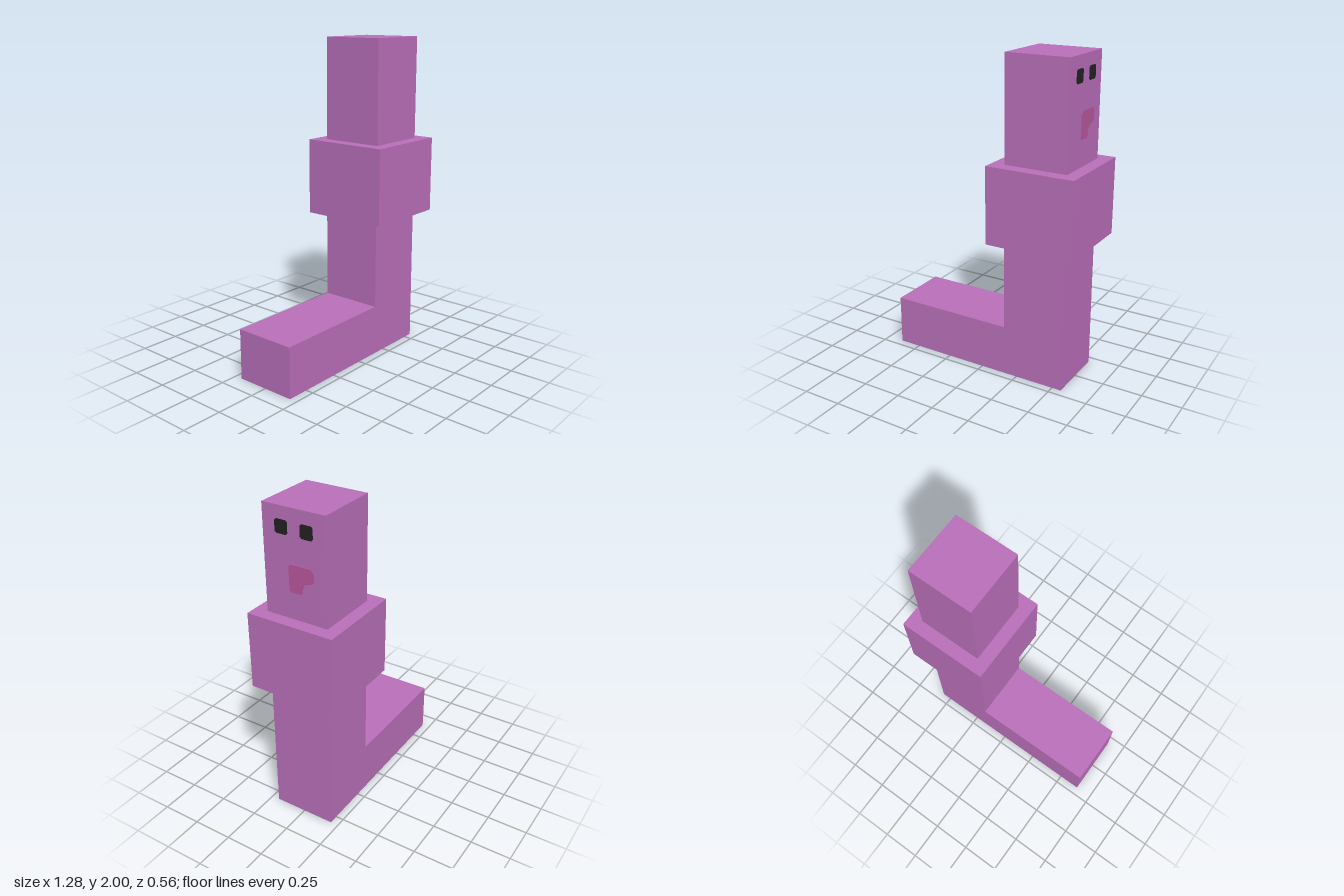
import * as THREE from 'three';

function material(name, color) {
  const m = new THREE.MeshStandardMaterial({ color });
  m.name = name;
  return m;
}

export function createModel() {
  const group = new THREE.Group();
  const purple = material('purple', 0xbb70bb);
  const black = material('black', 0x222222);
  const pink = material('pink', 0xbb57a0);

  const add = (name, geometry, mat, x, y, z) => {
    const mesh = new THREE.Mesh(geometry, mat);
    mesh.name = name;
    mesh.position.set(x, y, z);
    group.add(mesh);
    return mesh;
  };
  const polygon = (pts) => new THREE.Shape(pts.map(([x, y]) => new THREE.Vector2(x, y)));
  const extrude = (shape, depth) =>
    new THREE.ExtrudeGeometry(shape, { depth, bevelEnabled: false, curveSegments: 6 });

  // L-shaped body: upright trunk with a tail along the ground
  const bodyShape = polygon([
    [-0.64, 0], [0.56, 0], [0.56, 0.88], [0.16, 0.88], [0.16, 0.32], [-0.64, 0.32],
  ]);
  add('body', extrude(bodyShape, 0.4), purple, 0, 0, -0.2);

  // Wide collar block and head
  add('collar', new THREE.BoxGeometry(0.56, 0.48, 0.56), purple, 0.36, 1.12, 0);
  add('head', new THREE.BoxGeometry(0.4, 0.64, 0.4), purple, 0.36, 1.68, 0);

  // Face plates lie on the +x side of the head; shape x runs towards -z
  const addPlate = (name, shape, mat, y, z) => {
    add(name, extrude(shape, 0.004), mat, 0.559, y, z).rotation.y = Math.PI / 2;
  };

  // Eyes: squares with clipped corners
  const a = 0.04, b = 0.03;
  const eyeShape = polygon([
    [-b, -a], [b, -a], [a, -b], [a, b], [b, a], [-b, a], [-a, b], [-a, -b],
  ]);
  for (const side of [1, -1]) {
    addPlate(side > 0 ? 'leftEye' : 'rightEye', eyeShape, black, 1.885, side * 0.08);
  }

  // Mouth: rounded bar with a stem hanging at one end
  const mouth = new THREE.Shape();
  mouth.moveTo(-0.04, 1.545);
  mouth.quadraticCurveTo(-0.04, 1.522, -0.02, 1.522);
  mouth.lineTo(0.025, 1.522);
  mouth.quadraticCurveTo(0.045, 1.522, 0.045, 1.55);
  mouth.quadraticCurveTo(0.05, 1.59, 0.085, 1.595);
  mouth.quadraticCurveTo(0.12, 1.597, 0.12, 1.625);
  mouth.lineTo(0.12, 1.655);
  mouth.quadraticCurveTo(0.12, 1.685, 0.09, 1.685);
  mouth.lineTo(-0.015, 1.685);
  mouth.quadraticCurveTo(-0.04, 1.685, -0.04, 1.66);
  addPlate('mouth', mouth, pink, 0, 0);

  return group;
}
